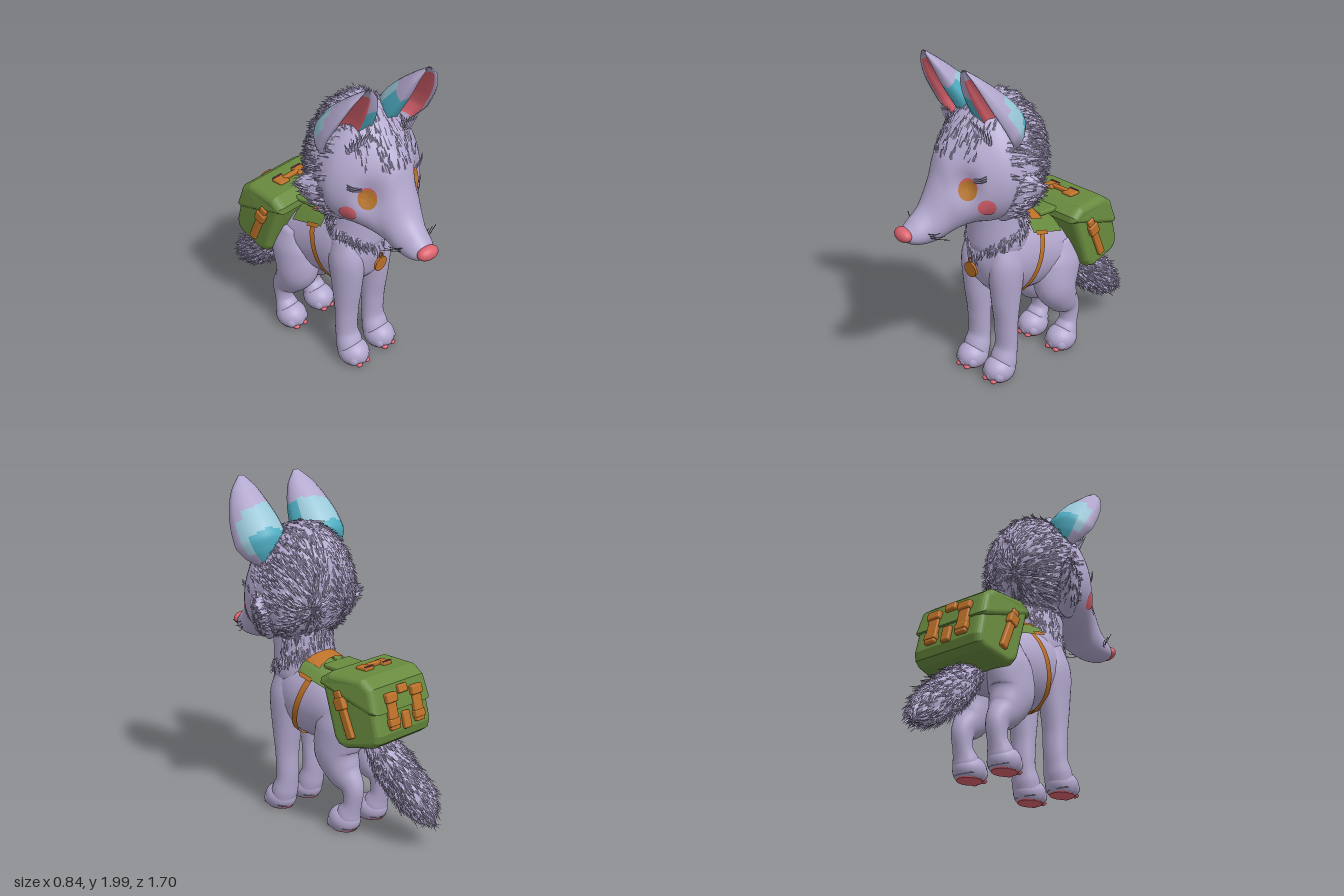
import * as THREE from 'three';
import { RoundedBoxGeometry } from 'three/addons/geometries/RoundedBoxGeometry.js';

const V = (x, y, z) => new THREE.Vector3(x, y, z);
const mat = (name, color) => new THREE.MeshStandardMaterial({ name, color, side: THREE.DoubleSide });

export function createModel() {
  const coat = mat('lavender coat', 0xb3a8ce), pink = mat('pink skin', 0xdb636f), teal = mat('teal', 0x4fadc2),
    pale = mat('pale teal', 0x9ac8d8), green = mat('green canvas', 0x688a3e), leather = mat('orange leather', 0xbd7128),
    amber = mat('amber eye', 0xb9762e), dark = mat('dark hair', 0x4a4054), plum = mat('plum trim', 0x7c3a62);
  const model = new THREE.Group();
  let seed = 7;
  const rnd = () => (seed = (seed * 16807) % 2147483647) / 2147483647;

  function add(parent, name, geo, material, pos = [0, 0, 0], rotX = 0) {
    const m = new THREE.Mesh(geo, material);
    m.name = name;
    m.position.set(...pos);
    m.rotation.x = rotX;
    parent.add(m);
    return m;
  }
  function indexed(pos, idx) {
    const g = new THREE.BufferGeometry();
    g.setAttribute('position', new THREE.Float32BufferAttribute(pos, 3));
    if (idx) g.setIndex(idx);
    g.computeVertexNormals();
    return g;
  }
  // Smooth skin over elliptical rings [x, y, z, half-width, half-depth]
  function loft(rings, { fixed = null, egg = 0, seg = 28, steps = 36 } = {}) {
    const path = new THREE.CatmullRomCurve3(rings.map(r => V(r[0], r[1], r[2])));
    const size = new THREE.CatmullRomCurve3(rings.map(r => V(r[3], r[4], 0)));
    const pos = [], idx = [];
    for (let i = 0; i <= steps; i++) {
      const c = path.getPoint(i / steps), s = size.getPoint(i / steps), t = fixed || path.getTangent(i / steps);
      const r = V(1, 0, 0).addScaledVector(t, -t.x).normalize(), u = t.clone().cross(r);
      for (let j = 0; j < seg; j++) {
        const a = j / seg * Math.PI * 2, k = Math.sin(a);
        const p = c.clone().addScaledVector(r, Math.max(s.x, 0.004) * Math.cos(a) * (1 - egg * k))
          .addScaledVector(u, Math.max(s.y, 0.004) * k);
        pos.push(p.x, p.y, p.z);
        if (i < steps) {
          const q = i * seg + j, n = i * seg + (j + 1) % seg;
          idx.push(q, n, n + seg, q, n + seg, q + seg);
        }
      }
    }
    for (const [r, i] of [[rings[0], 0], [rings.at(-1), steps]]) {
      const c = pos.push(r[0], r[1], r[2]) / 3 - 1;
      for (let j = 0; j < seg; j++) {
        const q = i * seg + j, n = i * seg + (j + 1) % seg;
        idx.push(c, i ? q : n, i ? n : q);
      }
    }
    return indexed(pos, idx);
  }
  // Pointed blades of fur scattered over a mesh
  function fur(parent, name, mesh, count, keep, flow, len, wide, lift = 0.25) {
    const p = mesh.geometry.attributes.position, ix = mesh.geometry.index, out = [], tri = new THREE.Triangle();
    for (let tries = 0; count > 0 && tries < 300000; tries++) {
      const f0 = Math.floor(rnd() * ix.count / 3) * 3;
      tri.setFromAttributeAndIndices(p, ix.getX(f0), ix.getX(f0 + 1), ix.getX(f0 + 2));
      let a = rnd(), b = rnd();
      if (a + b > 1) { a = 1 - a; b = 1 - b; }
      if (rnd() > tri.getArea() / 0.0016) continue;
      const c = tri.a.clone().multiplyScalar(1 - a - b).addScaledVector(tri.b, a).addScaledVector(tri.c, b);
      if (!keep(c)) continue;
      const n = tri.getNormal(V(0, 0, 0)), f = flow(c);
      const d = f.addScaledVector(n, -f.dot(n)).normalize().addScaledVector(n, lift * (0.5 + rnd()));
      d.x += (rnd() - 0.5) * 0.35; d.y += (rnd() - 0.5) * 0.35;
      d.normalize();
      const side = d.clone().cross(n).normalize().multiplyScalar(wide * (0.6 + rnd() * 0.6));
      const L = c.clone().sub(side), R = c.clone().add(side), top = c.clone().addScaledVector(n, wide * 0.6);
      const tip = c.clone().addScaledVector(d, len * (0.6 + rnd() * 0.7));
      for (const q of [L, top, tip, top, R, tip]) out.push(q.x, q.y, q.z);
      count--;
    }
    add(parent, name, indexed(out), coat);
  }
  // First point on the target looking inward along a direction
  const ray = new THREE.Raycaster();
  function hit(target, c, out, gap) {
    ray.set(c.clone().addScaledVector(out, 0.7), out.clone().negate());
    const h = ray.intersectObject(target, false)[0];
    return (h ? h.point : c.clone()).addScaledVector(out, gap);
  }
  // Oval marking laid on a surface
  function patch(parent, name, target, c, out, rx, ry, material, gap) {
    const n = out.clone().normalize(), r = V(0, 1, 0).cross(n).normalize(), u = n.clone().cross(r);
    const g = new THREE.RingGeometry(0.001, 1, 28, 4), p = g.attributes.position;
    for (let i = 0; i < p.count; i++) {
      const q = c.clone().addScaledVector(r, p.getX(i) * rx).addScaledVector(u, p.getY(i) * ry);
      p.setXYZ(i, ...hit(target, q, n, gap).toArray());
    }
    g.computeVertexNormals();
    add(parent, name, g, material);
  }
  // Strap wrapped around the body
  function band(name, target, c, up, along, width, a0, a1, material, gap) {
    const pos = [], idx = [], N = 48, M = 4;
    for (let i = 0; i <= N; i++) for (let j = 0; j <= M; j++) {
      const a = a0 + (a1 - a0) * i / N, d = V(Math.cos(a), 0, 0).addScaledVector(up, Math.sin(a));
      pos.push(...hit(target, c.clone().addScaledVector(along, width * (j / M - 0.5)), d, gap).toArray());
      const q = i * (M + 1) + j;
      if (i < N && j < M) idx.push(q, q + M + 1, q + 1, q + 1, q + M + 1, q + M + 2);
    }
    add(model, name, indexed(pos, idx), material);
  }

  // Torso and neck
  const Z = V(0, 0, 1);
  const body = add(model, 'body', loft([[0, .65, -.39, .02, .02], [0, .65, -.36, .1, .12], [0, .66, -.27, .17, .19], [0, .685, -.15, .19, .215],
    [0, .715, -.02, .195, .245], [0, .74, .12, .2, .255], [0, .76, .24, .18, .235], [0, .78, .32, .13, .17], [0, .78, .355, .04, .05]], { fixed: Z }), coat);
  const neck = add(model, 'neck', loft([[0, .74, .19, .13, .13], [0, .87, .19, .185, .175], [0, 1, .195, .18, .17], [0, 1.12, .2, .175, .17], [0, 1.3, .2, .17, .17]]), coat);
  // Fur collar dipping to a point on the chest
  const collar = p => p.z > .19 ? .79 + .8 * Math.abs(p.x) : .935 + (.19 - p.z) * .6;
  const down = p => V(-p.x * 3, -1, .1);
  for (const [m, n] of [[neck, 230], [body, 90]]) fur(model, 'collarFur', m, n, p => p.y > .76 && p.z > .05 && Math.abs(p.y - collar(p)) < .025, down, .05, .009);
  fur(model, 'neckFur', neck, 230, p => p.y > collar(p) + .02 && p.y < 1.2 && p.z < .2, () => V(0, -1, -.1), .055, .009);

  // Legs and feet
  for (const s of [1, -1]) {
    const x = s * .115 - .008, h = s * .122 - .008;
    add(model, 'frontLeg', loft([[x, .88, .2, .06, .08], [x, .72, .222, .095, .115], [x, .52, .23, .085, .092], [x, .35, .23, .076, .066],
      [x, .2, .23, .073, .062], [x, .11, .252, .084, .075], [x, .03, .268, .08, .068]]), coat);
    add(model, 'hindLeg', loft([[h, .76, -.2, .06, .08], [h, .62, -.2, .11, .16], [h, .47, -.175, .118, .145], [h, .35, -.23, .096, .105],
      [h, .27, -.295, .064, .07], [h, .17, -.295, .058, .054], [h, .1, -.268, .076, .07], [h, .03, -.255, .078, .07]]), coat);
    for (const [fx, z] of [[x, .287], [h, -.235]]) {
      const foot = new THREE.SphereGeometry(1, 28, 18).scale(.092, .085, .1), p = foot.attributes.position;
      for (let i = 0; i < p.count; i++) p.setY(i, Math.max(p.getY(i), -.055));
      foot.computeVertexNormals();
      add(model, 'foot', foot, coat, [fx, .06, z]);
      for (const k of [-1, 0, 1]) add(model, 'toe', new THREE.SphereGeometry(1, 14, 10).scale(.034, .042, .042), coat, [fx + k * .048, .046, z + .06 - Math.abs(k) * .018]);
      add(model, 'solePad', new THREE.CylinderGeometry(1, .96, .007, 24).scale(.07, 1, .08), pink, [fx, .0035, z]);
      for (const k of [-1, 1]) add(model, 'toePad', new THREE.SphereGeometry(1, 10, 8).scale(.022, .014, .02), pink, [fx + k * .032, .015, z + .08]);
    }
  }

  // Bushy tail
  const tail = add(model, 'tail', loft([[0, .62, -.27, .05, .05], [0, .53, -.4, .08, .08], [.005, .4, -.54, .11, .105], [.01, .28, -.68, .105, .1], [.015, .2, -.76, .06, .055], [.015, .17, -.79, .006, .006]]), coat);
  fur(model, 'tailFur', tail, 1200, p => p.z < -.33, () => V(0, -.65, -.75), .07, .0105, .35);

  // Head, turned a little to its right
  const turn = new THREE.Group(), head = new THREE.Group();
  turn.name = 'head';
  turn.position.set(.005, 0, .15);
  turn.rotation.y = -.165;
  head.position.z = -.15;
  turn.add(head);
  model.add(turn);
  // [z, top, bottom, half-width]
  const profile = [[-.07, 1.46, 1.4, .03], [-.045, 1.58, 1.27, .15], [.05, 1.7, 1.11, .265], [.16, 1.75, 1.05, .312], [.3, 1.73, 1.03, .314], [.43, 1.645, 1.04, .258],
    [.51, 1.56, 1.02, .192], [.57, 1.475, .99, .143], [.61, 1.35, .975, .122], [.68, 1.2, .97, .1], [.76, 1.125, .98, .08], [.8, 1.09, 1.0, .055], [.815, 1.06, 1.03, .02]];
  const skull = add(head, 'skull', loft(profile.map(([z, t, b, w]) => [0, (t + b) / 2, z, w, (t - b) / 2]), { fixed: Z, egg: .18, seg: 48, steps: 80 }), coat);
  // Hollow eye sockets
  const sp = skull.geometry.attributes.position;
  for (let i = 0; i < sp.count; i++) {
    const p = V(0, 0, 0).fromBufferAttribute(sp, i);
    const k = .042 * Math.exp(-V(Math.abs(p.x) - .165, (p.y - 1.31) * .9, p.z - .51).lengthSq() / .006);
    sp.setXYZ(i, p.x - Math.sign(p.x) * k * .45, p.y, p.z - k);
  }
  skull.geometry.computeVertexNormals();
  const back = p => V(Math.sign(p.x) * .25, -.35, -1);
  fur(head, 'headFur', skull, 1700, p => p.z < .2 + rnd() * .12 && p.y > 1.06, back, .062, .0105, .2);
  fur(head, 'foreheadFur', skull, 190, p => p.z >= .24 && p.y > 1.45 && Math.abs(p.x) < .19, p => V(p.x * .8, 1, -.3), .055, .008, .15);
  add(head, 'nose', new THREE.SphereGeometry(1, 24, 16).scale(.068, .042, .042), pink, [0, 1.05, .812]);

  for (const s of [1, -1]) {
    // Pointed cheek ruff
    const ruff = add(head, 'cheek', loft([[s * .2, 1.24, .27, .1, .18], [s * .28, 1.25, .225, .085, .135], [s * .335, 1.275, .18, .055, .08], [s * .38, 1.3, .15, .012, .012]].map(([x, y, z, a, b]) => [z, y, -x, a, b]), { fixed: V(0, 0, -s) }).rotateY(-Math.PI / 2), coat);
    fur(head, 'cheekFur', ruff, 120, p => Math.abs(p.x) > .25, () => V(s, .1, -.5), .055, .012, .2);

    // Eyes and cheek marks
    const look = V(s * .6, .1, .8), eye = V(s * .155, 1.292, .475);
    patch(head, 'eyelid', skull, eye.clone().add(V(0, .013, 0)), look, .053, .057, pink, .003);
    patch(head, 'eye', skull, eye, look, .052, .058, amber, .006);
    patch(head, 'cheekMark', skull, V(s * .245, 1.2, .42), V(s * .72, 0, .69), .05, .052, pink, .005);
    for (let k = 0; k < 3; k++) {
      const lash = new THREE.CatmullRomCurve3([V(s * .19, 1.34 + k * .01, .47), V(s * .235, 1.35 + k * .012, .455), V(s * .265, 1.368 + k * .014, .435)]);
      add(head, 'lash', new THREE.TubeGeometry(lash, 6, .003, 5), coat);
      const whisker = new THREE.CatmullRomCurve3([V(s * .075, 1.06 - k * .012, .72), V(s * .13, 1.065 - k * .02, .69 - k * .02), V(s * .17, 1.09 - k * .03, .68 - k * .03)]);
      add(head, 'whisker', new THREE.TubeGeometry(whisker, 8, .002, 4), dark);
    }

    // Ear: hollow leaf with a coloured back and a broad inner rim
    const A = V(0, .5, .27).normalize(), L0 = V(1, 0, 0), N0 = L0.clone().cross(A), yaw = .04;
    const N = N0.clone().multiplyScalar(Math.cos(yaw)).addScaledVector(L0, Math.sin(yaw));
    const L = L0.clone().multiplyScalar(Math.cos(yaw)).addScaledVector(N0, -Math.sin(yaw));
    const spine = new THREE.CatmullRomCurve3([V(.215, 1.5, .235), V(.212, 1.66, .32), V(.21, 1.83, .43), V(.2, 1.99, .525)]);
    const shape = new THREE.CatmullRomCurve3([V(.045, .04, 0), V(.13, .11, 0), V(.165, .145, 0), V(.162, .135, 0), V(.145, .115, 0), V(.12, .085, 0), V(.085, .05, 0), V(.02, .01, 0)]);
    const T = 44, P = 22, pos = [], faces = [[], [], [], []];
    for (let i = 0; i <= T; i++) {
      const t = i / T, c = spine.getPoint(t), d = shape.getPoint(t);
      for (let j = 0; j < P; j++) {
        const inner = j > 10, a = Math.PI * (inner ? 21 - j : j) / 10;
        const p = c.clone().addScaledVector(L, d.x * (inner ? .14 + .62 * Math.cos(a) : Math.cos(a)))
          .addScaledVector(N, d.y * (.3 - Math.sin(a) * (inner ? .75 : 1.25)));
        pos.push(s * p.x, p.y, p.z);
        if (i === T) continue;
        const q = i * P + j, n = i * P + (j + 1) % P;
        let m = 0;
        if (j > 10 && j < 21) m = t > .1 && t < .86 ? 1 : 0;
        else if (j >= 8 && j <= 10) m = t < .62 ? 2 : 0;
        else if (j >= 2 && j < 8) m = t < .36 - .03 * Math.abs(j - 4) ? 2 : t < .54 + .015 * j ? 3 : 0;
        else if (j === 1) m = t > .12 && t < .5 ? 3 : 0;
        faces[m].push(...(s > 0 ? [q, n, n + P, q, n + P, q + P] : [q, n + P, n, q, q + P, n + P]));
      }
    }
    const ear = indexed(pos, faces.flat());
    let start = 0;
    faces.forEach((f, i) => { ear.addGroup(start, f.length, i); start += f.length; });
    add(head, 'ear', ear, [coat, pink, teal, pale]);
    // Tuft at the inner base of the ear
    for (let k = 0; k < 7; k++) {
      const tuft = add(head, 'earTuft', new THREE.ConeGeometry(.015, .12, 4), coat, [s * (.12 + k * .018), 1.63 - k * .008, .42 - k * .006], .3);
      tuft.rotation.z = s * (.35 - k * .14);
    }
  }

  // Medal on the chest
  add(model, 'medal', new THREE.CylinderGeometry(.048, .048, .014, 28).rotateX(Math.PI / 2), leather, [-.015, .715, .39], .08);
  add(model, 'medalRing', new THREE.TorusGeometry(.014, .004, 6, 16), leather, [-.015, .775, .392]);

  // Harness
  const slope = V(0, .25, .97), up = V(0, 1, 0), half = Math.PI / 2;
  band('girthStrap', body, V(0, .7, .06), V(0, .93, -.36), V(0, .36, .93), .04, 0, Math.PI * 2, leather, .012);
  band('saddlePad', body, V(0, .72, -.05), up, slope, .25, .7, Math.PI - .7, green, .026);
  band('padFrontEdge', body, V(0, .735, .01), up, slope, .12, 1.05, Math.PI - 1.05, leather, .034);
  for (const s of [1, -1]) band('padTab', body, V(0, .72, .01), up, slope, .09, half - s * .78, half - s * .88, leather, .034);
  add(model, 'packBridge', new RoundedBoxGeometry(.22, .03, .16, 3, .012), green, [-.005, .945, -.14], -.08);

  // Backpack: side outlines given as (-z, y), narrowing to the rear and top
  const clamp = THREE.MathUtils.clamp;
  function packPart(name, outline, width) {
    const g = new THREE.ExtrudeGeometry(new THREE.Shape(outline.map(p => new THREE.Vector2(...p))),
      { depth: width - .1, bevelThickness: .05, bevelSize: .035, bevelOffset: -.035, bevelSegments: 5 });
    g.translate(0, 0, .05 - width / 2).rotateY(Math.PI / 2);
    const p = g.attributes.position;
    for (let i = 0; i < p.count; i++)
      p.setX(i, p.getX(i) * (1 - .12 * clamp((-p.getZ(i) - .27) / .3, 0, 1)) * (1 - .09 * clamp((p.getY(i) - .8) / .2, 0, 1)));
    g.computeVertexNormals();
    add(model, name, g, green);
  }
  packPart('packBody', [[.18, .91], [.25, .965], [.47, .96], [.54, .88], [.59, .67], [.58, .62], [.54, .59], [.36, .555], [.31, .57], [.28, .61]], .545);
  packPart('packLid', [[.165, .9], [.17, .94], [.24, .985], [.46, .98], [.53, .93], [.575, .79], [.53, .78], [.38, .83]], .57);
  const box = (name, w, h, d, pos, rot, m = leather) => add(model, name, new RoundedBoxGeometry(w, h, d, 2, Math.min(.01, d / 2.1)), m, pos, rot);
  for (const s of [1, -1]) {
    box('rearStrap', .075, .21, .03, [s * .11 - .008, .79, -.572], .25);
    box('rearBuckle', .09, .055, .045, [s * .11 - .008, .865, -.557], .25);
    box('rearBuckle', .085, .045, .04, [s * .11 - .008, .73, -.586], .25);
    box('sideStrap', .032, .28, .05, [s * .262, .76, -.36], .4);
    box('sideBuckle', .05, .07, .07, [s * .262, .82, -.335], .4);
    box('handlePad', .075, .03, .08, [s * .078 - .008, .985, -.345], .03);
    box('padTrim', .07, .006, .012, [s * .078 - .008, 1.002, -.375], .03, plum);
  }
  box('handleBar', .12, .028, .03, [-.008, .992, -.34], 0);
  box('middleStrap', .06, .1, .03, [-.008, .72, -.586], .25);
  box('middleTab', .075, .05, .03, [-.008, .895, -.549], .35);
  return model;
}
